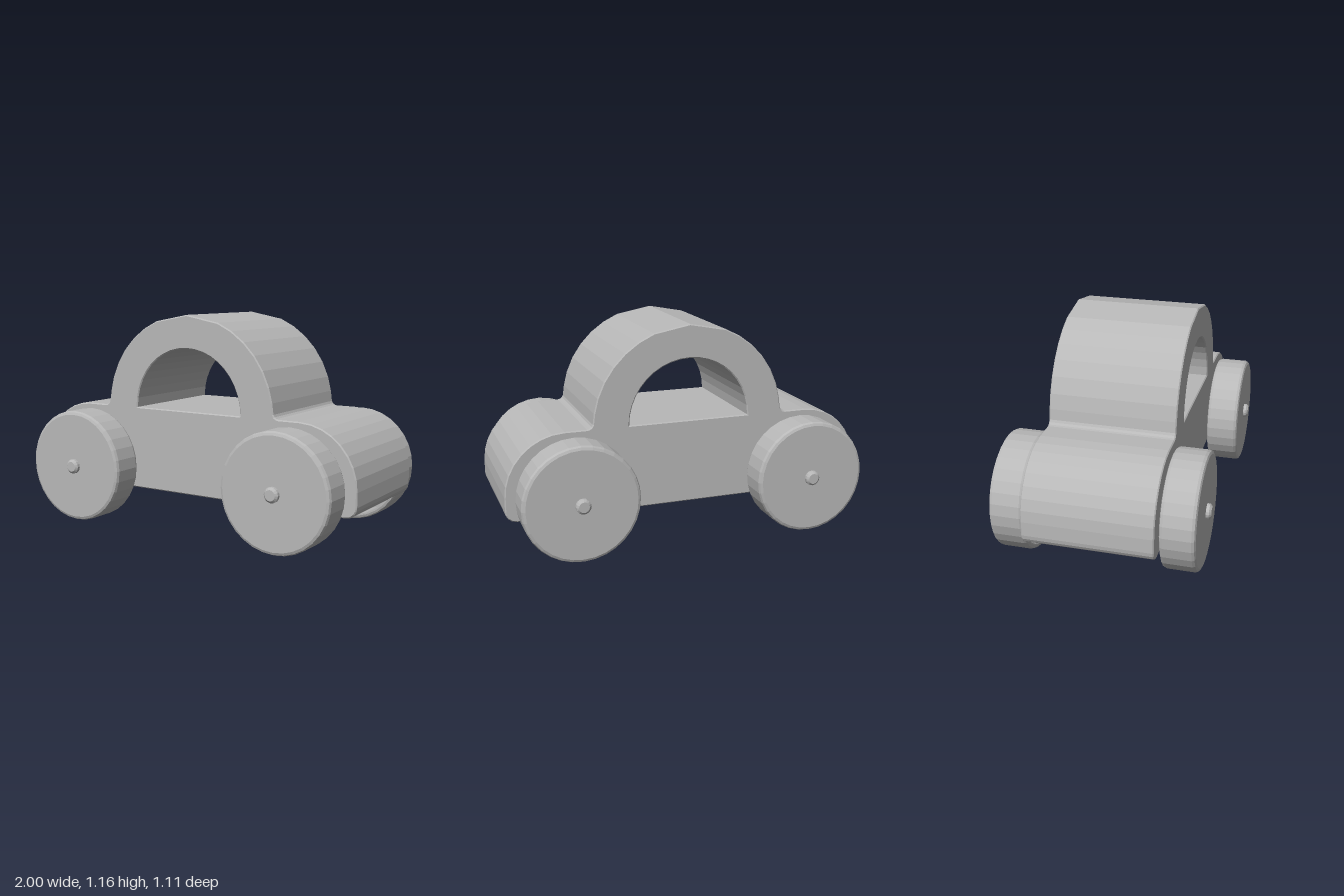
import * as THREE from 'three';

// Points on an ellipse at the given angles (degrees)
const arc = (cx, cy, rx, ry, degrees) => degrees.map((d) => {
  const a = THREE.MathUtils.degToRad(d);
  return new THREE.Vector2(cx + rx * Math.cos(a), cy + ry * Math.sin(a));
});

const mirrorX = (points) => points.map((p) => new THREE.Vector2(-p.x, p.y)).reverse();

// Solid of revolution around z with flat facets
function turned(profile, segments) {
  const points = profile.map(([r, z]) => new THREE.Vector2(r, z));
  const geometry = new THREE.LatheGeometry(points, segments).toNonIndexed();
  geometry.rotateX(Math.PI / 2);
  geometry.computeVertexNormals();
  return geometry;
}

function addMesh(parent, geometry, material, name) {
  const mesh = new THREE.Mesh(geometry, material);
  mesh.name = name;
  parent.add(mesh);
}

export function createModel() {
  const model = new THREE.Group();
  model.name = 'toyCar';
  const grey = new THREE.MeshStandardMaterial({ color: 0xb8b8b8 });
  grey.name = 'plain grey';

  // Body outline: rounded bumper, fender, fillet and half-round cab, then mirrored
  const half = [
    ...arc(0.94, 0.255, 0.06, 0.06, [-90, -65, -40, -20, 0]),
    ...arc(0.68, 0.33, 0.32, 0.32, [0, 11, 22, 33, 45, 56, 67, 78, 90]),
    ...arc(0.562, 0.682, 0.032, 0.032, [-90, -115, -140, -165, -180]),
    ...arc(0, 0.65, 0.53, 0.515, [9, 18, 28, 38, 48, 58, 68, 90]),
  ];
  const outline = new THREE.Shape([...half, ...mirrorX(half.slice(0, -1))]);

  // Half-round window opening through the cab
  const windowAngles = Array.from({ length: 21 }, (_, i) => 180 - i * 9);
  outline.holes.push(new THREE.Path(arc(0, 0.65, 0.335, 0.335, windowAngles)));

  const bevel = 0.006;
  const body = new THREE.ExtrudeGeometry(outline, {
    depth: 0.675 - 2 * bevel,
    bevelThickness: bevel,
    bevelSize: bevel,
    bevelOffset: -bevel,
    bevelSegments: 1,
  });
  body.translate(0, 0, -0.3375 + bevel);
  addMesh(model, body, grey, 'body');

  // Hollow wheel, open towards the body, with rounded rims
  const wheel = turned([
    [0, 0.508], [0.283, 0.508], [0.283, 0.345], [0.292, 0.345],
    [0.304, 0.35], [0.31, 0.363], [0.31, 0.507], [0.304, 0.52],
    [0.291, 0.526], [0, 0.526],
  ], 32);

  // Small axle peg showing on both sides of the wheel face
  const peg = turned([
    [0, 0.496], [0.028, 0.496], [0.04, 0.504], [0.04, 0.542], [0.028, 0.553], [0, 0.553],
  ], 16);

  for (const side of [1, -1]) {
    for (const end of [1, -1]) {
      const group = new THREE.Group();
      group.name = (side > 0 ? 'front' : 'back') + (end > 0 ? 'Left' : 'Right') + 'Wheel';
      addMesh(group, wheel, grey, 'wheelDisc');
      addMesh(group, peg, grey, 'axlePeg');
      group.position.set(end * 0.64, 0.314, 0);
      group.rotation.y = side > 0 ? 0 : Math.PI;
      model.add(group);
    }
  }
  return model;
}
